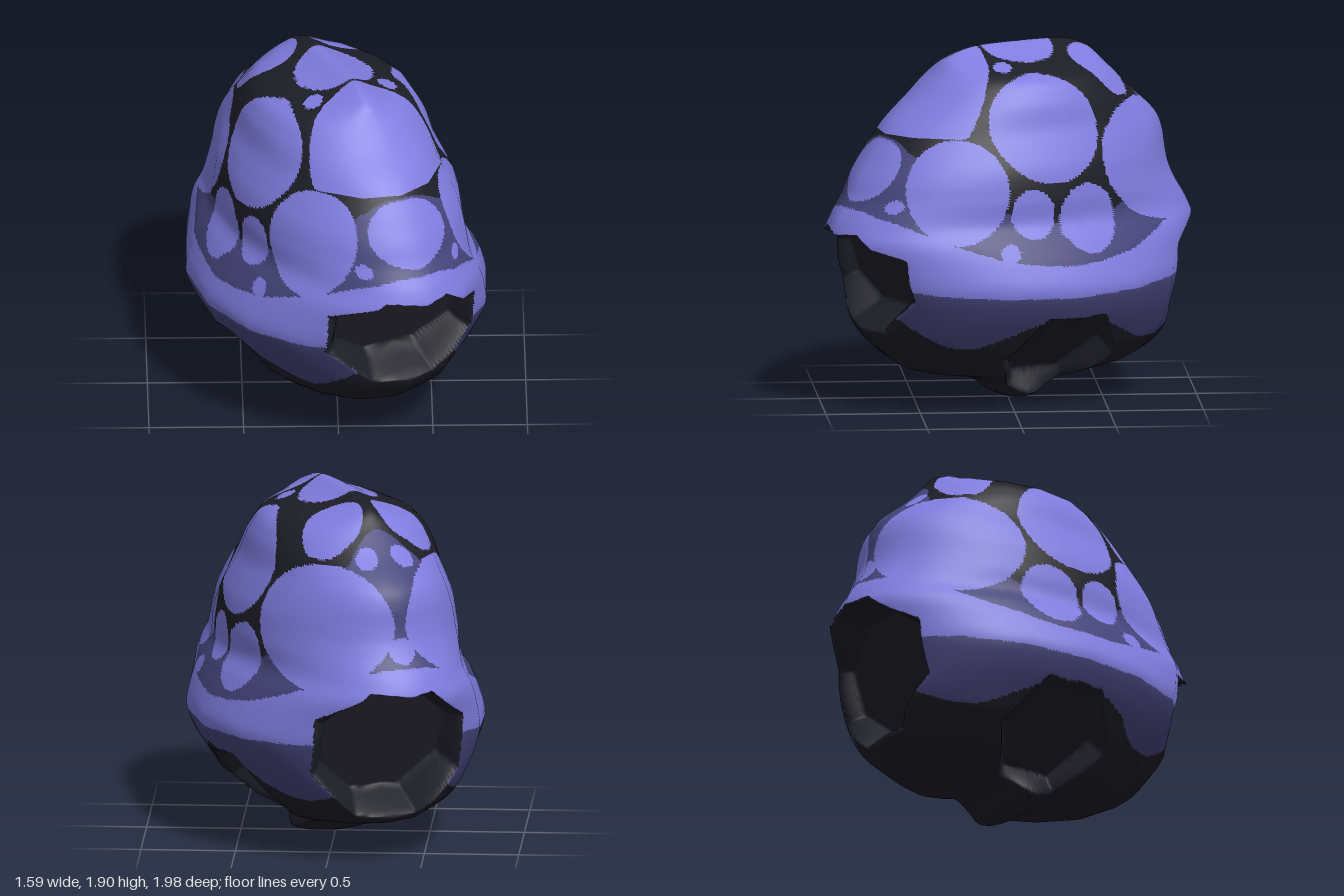
import * as THREE from 'three';

const ROWS = 220, SEGS = 304, SIDES = 16;
const V3 = (x, y, z) => new THREE.Vector3(x, y, z);
const { lerp: mix, degToRad: rad, smoothstep } = THREE.MathUtils;

// Rings from crown to belly: half width, height, half length
const rings = new THREE.CatmullRomCurve3([
  [0, 1.9, 0], [0.04, 1.892, 0.28], [0.13, 1.85, 0.42], [0.385, 1.75, 0.515], [0.455, 1.65, 0.615],
  [0.495, 1.5, 0.785], [0.538, 1.4, 0.845], [0.575, 1.3, 0.885], [0.597, 1.15, 0.95], [0.6, 1.02, 1.035],
  [0.66, 0.92, 1.065], [0.72, 0.8, 1.025], [0.757, 0.67, 0.98], [0.718, 0.55, 0.945], [0.62, 0.4, 0.9],
  [0.55, 0.3, 0.815], [0.425, 0.2, 0.66], [0.375, 0.145, 0.34], [0.33, 0.1, 0.18], [0.2, 0.03, 0.07], [0, 0, 0],
].map(p => V3(...p)));

// Plates seen from the top: u, w, radius u, radius w (mirrored in u)
const topPlates = [
  [0, 0.47, 0.375, 0.28], [0, -0.035, 0.21, 0.21], [0.195, -0.43, 0.16, 0.155],
  [0.22, 0.16, 0.05, 0.05], [0.1, -0.67, 0.06, 0.055],
];
// Plates seen from the side: facing angle, offset, height, half width, half height (mirrored in u)
const sidePlates = [
  [90, -0.04, 1.505, 0.31, 0.275], [65, -0.32, 1.2, 0.275, 0.268], [135, 0.21, 1.28, 0.4, 0.32],
  [0, 0, 1.29, 0.222, 0.16], [90, -0.18, 1.075, 0.125, 0.13], [90, 0.145, 1.035, 0.175, 0.18],
  [75, -0.17, 0.885, 0.055, 0.048], [120, -0.29, 0.965, 0.05, 0.05], [15, 0.04, 1.125, 0.045, 0.035],
  [180, 0, 1.18, 0.075, 0.065],
];

// Openings: centre, facing direction, half sizes, number of sides, turn of the polygon, depth
const opening = (c, n, r1, r2, sides, turn, depth) => {
  n.normalize();
  const e1 = V3(0, 1, 0).cross(n).normalize();
  return { c, n, e1, e2: n.clone().cross(e1), r1, r2, sides, turn, depth };
};
const openings = [
  opening(V3(-0.03, 0.7, 0.95), V3(0, -0.3, 0.95), 0.435, 0.285, 8, 0, 0.24),
  opening(V3(0.035, 0.6, -0.95), V3(0, -0.3, -0.95), 0.43, 0.385, 8, 0, 0.26),
  ...[1, -1].map(s => opening(V3(0.48 * s, 0.27, -0.04), V3(0.675 * s, -0.74, 0), 0.33, 0.35, 6, Math.PI / 6, 0.13)),
];

// 0 at the middle of an opening, 1 on its polygonal edge
function edgeDistance(o, p) {
  const q = p.clone().sub(o.c);
  if (q.dot(o.n) < -0.35) return 9;
  const a = q.dot(o.e1) / o.r1, b = q.dot(o.e2) / o.r2;
  const step = (2 * Math.PI) / o.sides;
  const ang = Math.atan2(b, a) + o.turn;
  const local = ang - Math.round(ang / step) * step;
  return Math.hypot(a, b) * Math.cos(local) / Math.cos(step / 2) * 0.96;
}

// Press the openings into the shell
function recess(p) {
  for (const o of openings) {
    const d = edgeDistance(o, p);
    if (d >= 1) continue;
    const h = p.clone().sub(o.c).dot(o.n);
    p.addScaledVector(o.n, mix(h, -o.depth, Math.min(1, (1 - d) / 0.18)) - h);
    break;
  }
  return p;
}

function isPlate(p) {
  const u = Math.abs(p.x);
  for (const [cu, cw, ru, rw] of topPlates)
    if (p.y > 1.475 && Math.hypot((u - cu) / ru, (p.z - cw) / rw) < 1) return true;
  for (const [deg, t0, y0, rt, ry] of sidePlates) {
    const s = Math.sin(rad(deg)), c = Math.cos(rad(deg));
    if (u * s + p.z * c < 0.1) continue;
    if (Math.hypot((u * c - p.z * s - t0) / rt, (p.y - y0) / ry) < 1) return true;
  }
  return false;
}

// Which painted part a point of the shell belongs to
function partAt(p) {
  if (openings.some(o => edgeDistance(o, p) < 1)) return 'openings';
  const phi = Math.atan2(p.x / 0.76, p.z / 1.03), c = Math.cos(phi), c2 = c * c;
  if (p.y < 0.43 + 0.09 * Math.cos(4 * phi) + (c > 0 ? 0.18 * c2 ** 3 : 0)) return 'belly';
  if (p.y < 0.64 + 0.06 * c2) return 'underRim';
  if (p.y < 0.805 + 0.29 * c2) return 'rim';
  if (isPlate(p)) return 'plates';
  return p.y < 1.02 + (c > 0 ? 0.44 * c2 : -0.74 * c2 * c) ? 'lowerSeams' : 'upperSeams';
}

// Point of a ring, the dome and the underside set a little to the back
function ringPoint(r, phi) {
  const lean = 0.058 * smoothstep(r.y, 1.2, 1.5)
    + 0.055 * smoothstep(r.y, 0.08, 0.22) * (1 - smoothstep(r.y, 0.25, 0.8));
  return V3(r.x * Math.sin(phi), r.y, r.z * Math.cos(phi) - lean);
}

export function createModel() {
  const material = (name, color) => {
    const m = new THREE.MeshStandardMaterial({ color });
    m.name = name;
    return m;
  };
  const violet = material('violet', 0x7f7cde);
  const dusk = material('dark violet', 0x46447a);
  const black = material('charcoal', 0x1d1d26);
  const paint = {
    plates: violet, rim: violet, lowerSeams: dusk, underRim: dusk,
    upperSeams: black, belly: black, openings: black,
  };

  // Sixteen-sided shell surface, and its rounded twin for the soft normals
  const raw = [], faceted = [], rounded = [];
  const step = (2 * Math.PI) / SIDES;
  for (let i = 0; i <= ROWS; i++) {
    const r = rings.getPoint(i / ROWS);
    for (let j = 0; j < SEGS; j++) {
      const side = (j / SEGS) * SIDES, k = Math.floor(side);
      const p = ringPoint(r, k * step).lerp(ringPoint(r, (k + 1) * step), side - k);
      raw.push(p);
      faceted.push(...recess(p.clone()).toArray());
      rounded.push(...recess(ringPoint(r, side * step)).toArray());
    }
  }

  // Sort the faces into painted parts
  const faces = Object.fromEntries(Object.keys(paint).map(k => [k, []]));
  const all = [];
  const id = (i, j) => i * SEGS + (i === 0 || i === ROWS ? 0 : j % SEGS);
  const addFace = (a, b, c) => {
    if (a === b || b === c || a === c) return;
    const mid = raw[a].clone().add(raw[b]).add(raw[c]).divideScalar(3);
    faces[partAt(mid)].push(a, b, c);
    all.push(a, b, c);
  };
  for (let i = 0; i < ROWS; i++)
    for (let j = 0; j < SEGS; j++) {
      addFace(id(i, j), id(i + 1, j), id(i + 1, j + 1));
      addFace(id(i, j), id(i + 1, j + 1), id(i, j + 1));
    }

  // Both surfaces turned a little to the shell's left
  const [shell, soft] = [faceted, rounded].map(points => {
    const g = new THREE.BufferGeometry();
    g.setAttribute('position', new THREE.Float32BufferAttribute(points, 3));
    g.setIndex(all);
    g.rotateY(rad(26));
    g.computeVertexNormals();
    return g;
  });

  const group = new THREE.Group();
  group.name = 'shell';
  for (const [name, index] of Object.entries(faces)) {
    const g = new THREE.BufferGeometry();
    g.setAttribute('position', shell.getAttribute('position'));
    g.setAttribute('normal', soft.getAttribute('normal'));
    g.setIndex(index);
    const mesh = new THREE.Mesh(g, paint[name]);
    mesh.name = name;
    group.add(mesh);
  }
  return group;
}
